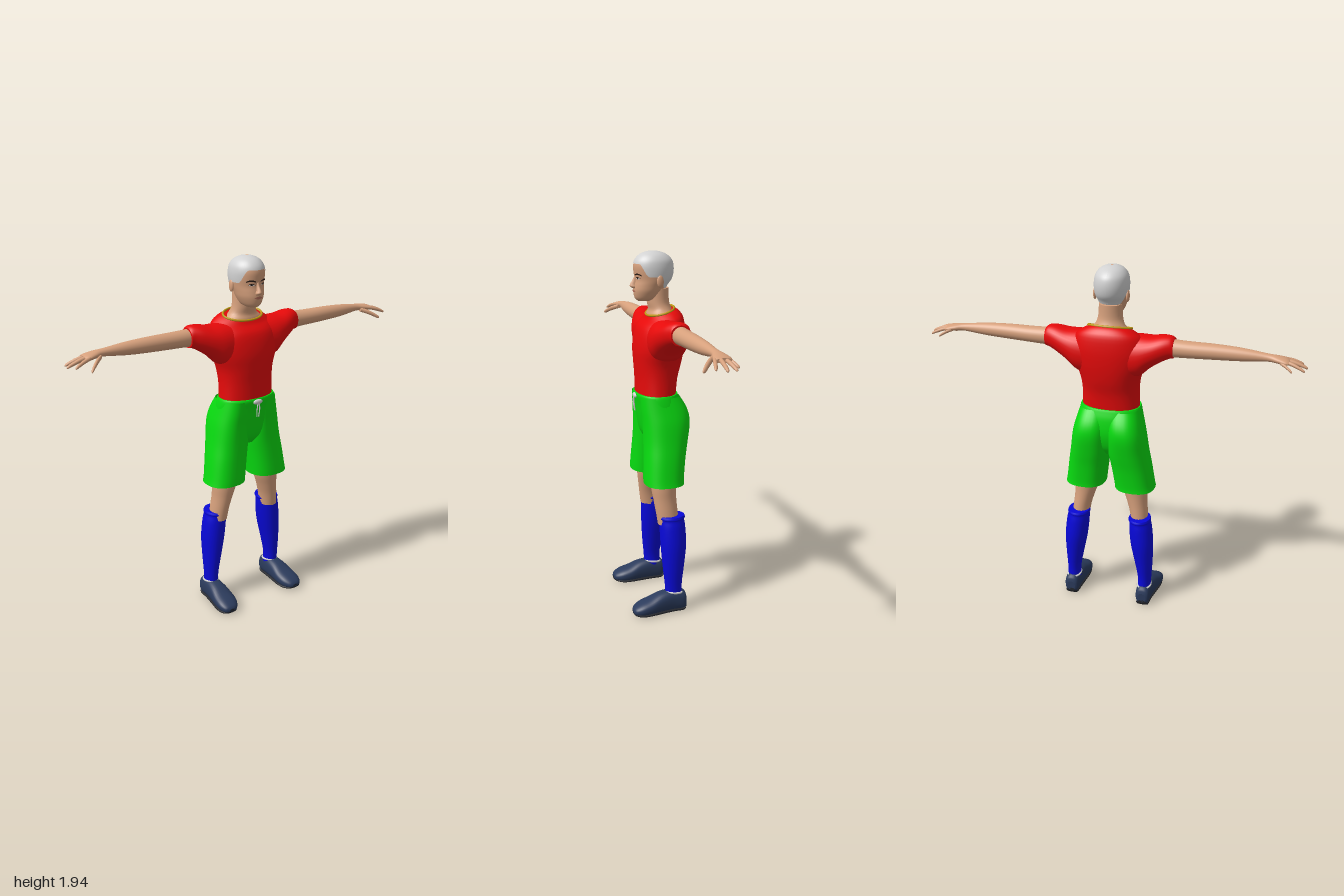
import * as THREE from 'three';

const mat = (name, color, side = THREE.FrontSide) => {
  const m = new THREE.MeshStandardMaterial({ color, side });
  m.name = name;
  return m;
};

// Smooth interpolation through a list of cross-sections, u counted in sections
function sample(sections, u) {
  const last = sections.length - 1;
  const i = Math.min(Math.floor(u), last - 1), f = u - i;
  const at = k => sections[Math.max(0, Math.min(last, k))];
  return sections[0].map((_, k) => {
    const [p0, p1, p2, p3] = [at(i - 1)[k], at(i)[k], at(i + 1)[k], at(i + 2)[k]];
    return p1 + 0.5 * f * (p2 - p0 + f * (2 * p0 - 5 * p1 + 4 * p2 - p3 + f * (3 * (p1 - p2) + p3 - p0)));
  });
}

// Point on a lofted body. A section is [t, a0, a1, b0, b1]: its place on the axis and its bounds across.
// Axis x: a = y, b = z.  Axis y: a = z, b = x.  Axis z: a = x, b = y.
function pointOn(sections, axis, u, angle, power = 2, grow = 0) {
  const [t, a0, a1, b0, b1] = sample(sections, u);
  const curve = v => Math.sign(v) * Math.abs(v) ** (2 / power);
  const a = (a0 + a1) / 2 + ((a1 - a0) / 2 + grow) * curve(Math.cos(angle));
  const b = (b0 + b1) / 2 + ((b1 - b0) / 2 + grow) * curve(Math.sin(angle));
  return axis === 'x' ? [t, a, b] : axis === 'y' ? [b, t, a] : [a, b, t];
}

function loft(sections, axis, { seg = 32, steps = 4, power = 2, caps = true, warp } = {}) {
  const pos = [], idx = [], rows = (sections.length - 1) * steps;
  const ring = r => {
    for (let j = 0; j < seg; j++) {
      const p = pointOn(sections, axis, r / steps, j / seg * Math.PI * 2, power);
      pos.push(...(warp ? warp(p) : p));
    }
  };
  for (let r = 0; r <= rows; r++) ring(r);
  for (let r = 0; r < rows; r++) for (let j = 0; j < seg; j++) {
    const k = (j + 1) % seg, a = r * seg, b = a + seg;
    idx.push(a + j, a + k, b + k, a + j, b + k, b + j);
  }
  if (caps) for (const r of [0, rows]) {
    const start = pos.length / 3;
    ring(r);
    const c = [0, 0, 0];
    for (let j = 0; j < seg; j++) for (let k = 0; k < 3; k++) c[k] += pos[(start + j) * 3 + k] / seg;
    pos.push(...c);
    for (let j = 0; j < seg; j++) {
      const k = start + (j + 1) % seg;
      idx.push(start + seg, ...(r ? [start + j, k] : [k, start + j]));
    }
  }
  return build(pos, idx);
}

function build(pos, idx) {
  const g = new THREE.BufferGeometry();
  g.setAttribute('position', new THREE.Float32BufferAttribute(pos, 3));
  g.setIndex(idx);
  g.computeVertexNormals();
  return g;
}

function mirror(geometry) {
  const g = geometry.clone().scale(-1, 1, 1), i = g.index.array;
  for (let k = 0; k < i.length; k += 3) [i[k], i[k + 1]] = [i[k + 1], i[k]];
  return g;
}

// [y, back z, front z, left and right x]
const HEAD = [
  [1.685, 0.01, 0.08, 0.03], [1.7, -0.04, 0.096, 0.05], [1.735, -0.06, 0.103, 0.068],
  [1.765, -0.075, 0.1, 0.076], [1.795, -0.097, 0.095, 0.083], [1.83, -0.107, 0.1, 0.087],
  [1.865, -0.107, 0.102, 0.086], [1.895, -0.097, 0.092, 0.078], [1.92, -0.07, 0.068, 0.058],
  [1.934, -0.035, 0.035, 0.03], [1.938, -0.005, 0.005, 0.005],
].map(([y, z0, z1, x]) => [y, z0, z1, -x, x]);

// Thin patch lying on the head between two angles and two heights
function headPatch(from, to, low, high, grow, cols, rows) {
  const pos = [], idx = [];
  for (let r = 0; r <= rows; r++) for (let c = 0; c <= cols; c++) {
    const f = c / cols, angle = from + (to - from) * f, lo = low(angle, f), hi = high(angle, f);
    pos.push(...pointOn(HEAD, 'y', lo + (hi - lo) * r / rows, angle, 2, grow));
    if (r < rows && c < cols) {
      const a = r * (cols + 1) + c, b = a + cols + 1;
      idx.push(a, a + 1, b + 1, a, b + 1, b);
    }
  }
  return build(pos, idx);
}

export function createModel() {
  const skin = mat('skin', 0xd6a07c), red = mat('shirt red', 0xe60a0a);
  const green = mat('shorts green', 0x08dc10, THREE.DoubleSide), blue = mat('sock blue', 0x0808d8);
  const navy = mat('shoe navy', 0x2b3b5c), grey = mat('light grey', 0xd2d2d2);
  const gold = mat('collar gold', 0xc09a18), dark = mat('dark brown', 0x2a1c16);
  const lip = mat('lip', 0xb4705c), sole = mat('sole', 0x24262c);

  const model = new THREE.Group();
  model.name = 'footballer';
  const add = (name, geometry, material) => {
    const m = new THREE.Mesh(geometry, material);
    m.name = name;
    model.add(m);
  };
  const pair = (name, geometry, material) => {
    add(name + 'Left', geometry, material);
    add(name + 'Right', mirror(geometry), material);
  };
  const ball = (x, y, z, sx, sy, sz) => new THREE.SphereGeometry(1, 16, 12).scale(sx, sy, sz).translate(x, y, z);
  const tube = (points, radius, closed = false) => new THREE.TubeGeometry(
    new THREE.CatmullRomCurve3(points.map(p => new THREE.Vector3(...p)), closed), 48, radius, 8, closed);

  // Head, neck and close-cropped hair
  add('head', loft(HEAD, 'y', { seg: 48 }), skin);
  add('neck', loft([[1.56, -0.1, 0.03, -0.115, 0.115], [1.61, -0.105, 0.03, -0.112, 0.112],
    [1.64, -0.1, 0.022, -0.08, 0.08], [1.68, -0.086, 0.03, -0.064, 0.064],
    [1.75, -0.085, 0.035, -0.06, 0.06]], 'y'), skin);
  const hairline = angle => {
    const a = Math.abs(angle);
    return 6.35 - 1.9 * THREE.MathUtils.smoothstep(a, 0.6, 1.15) - 1.9 * THREE.MathUtils.smoothstep(a, 1.7, 2.4);
  };
  add('hair', headPatch(-Math.PI, Math.PI, hairline, () => 10, 0.0025, 64, 28), grey);

  // Face
  add('nose', loft([[1.75, 0.085, 0.105, -0.015, 0.015], [1.76, 0.075, 0.122, -0.017, 0.017],
    [1.772, 0.075, 0.121, -0.012, 0.012], [1.795, 0.075, 0.107, -0.008, 0.008],
    [1.815, 0.075, 0.098, -0.009, 0.009]], 'y', { seg: 16 }), skin);
  const arch = f => Math.sin(f * Math.PI);
  pair('eyebrow', headPatch(0.16, 0.72, (a, f) => 4.58 + 0.14 * arch(f), (a, f) => 4.72 + 0.22 * arch(f), 0.003, 10, 2), dark);
  pair('eye', headPatch(0.22, 0.6, (a, f) => 4.2 - 0.13 * arch(f), (a, f) => 4.2 + 0.13 * arch(f), 0.002, 10, 2), grey);
  pair('iris', headPatch(0.33, 0.49, (a, f) => 4.2 - 0.12 * arch(f), (a, f) => 4.2 + 0.14 * arch(f), 0.003, 8, 2), dark);
  pair('eyelid', headPatch(0.2, 0.62, (a, f) => 4.2 + 0.12 * arch(f), (a, f) => 4.22 + 0.2 * arch(f), 0.0035, 10, 1), dark);
  add('mouth', headPatch(-0.38, 0.38, (a, f) => 2.05 - 0.22 * arch(f), (a, f) => 2.05 + 0.2 * arch(f), 0.002, 12, 2), lip);
  pair('ear', ball(0.086, 1.79, -0.015, 0.009, 0.031, 0.018), skin);

  // Shirt: torso with a neckline rising to the back, and short sleeves
  const neckRise = ([x, y, z]) => [x, y - (z + 0.035) * 0.32 * THREE.MathUtils.smoothstep(y, 1.54, 1.63), z];
  add('shirtBody', loft([[1.185, -0.115, 0.09, 0.155], [1.28, -0.125, 0.092, 0.152], [1.36, -0.145, 0.098, 0.16],
    [1.44, -0.157, 0.1, 0.187], [1.52, -0.16, 0.086, 0.2], [1.58, -0.153, 0.06, 0.18],
    [1.608, -0.132, 0.04, 0.145], [1.625, -0.11, 0.03, 0.115]].map(([y, z0, z1, x]) => [y, z0, z1, -x, x]),
  'y', { seg: 48, power: 2.2, warp: neckRise }), red);
  pair('sleeve', loft([[0.08, 1.37, 1.6, -0.135, 0.065], [0.16, 1.385, 1.602, -0.138, 0.068],
    [0.22, 1.437, 1.602, -0.13, 0.055], [0.28, 1.477, 1.612, -0.115, 0.033],
    [0.32, 1.497, 1.612, -0.101, 0.014], [0.338, 1.5, 1.602, -0.094, 0.008]], 'x', { power: 2.2 }), red);
  const neckline = Array.from({ length: 16 }, (_, i) => {
    const a = i / 8 * Math.PI;
    return [0.114 * Math.sin(a), 1.63 - 0.021 * Math.cos(a), -0.039 + 0.07 * Math.cos(a)];
  });
  add('collar', tube(neckline, 0.006, true), gold);

  // Arms, palms and fingers
  pair('arm', loft([[0.3, 1.503, 1.597, -0.09, 0], [0.42, 1.508, 1.593, -0.089, -0.001],
    [0.55, 1.513, 1.592, -0.083, -0.003], [0.68, 1.52, 1.586, -0.077, -0.012],
    [0.8, 1.533, 1.573, -0.071, -0.026], [0.85, 1.531, 1.568, -0.083, -0.016],
    [0.89, 1.528, 1.56, -0.092, -0.006], [0.908, 1.53, 1.552, -0.088, -0.012]], 'x'), skin);
  // [start x, y, z, tip x, y, z, radius]
  const digits = {
    thumb: [0.825, 1.54, -0.03, 0.91, 1.495, 0.042, 0.012], index: [0.885, 1.545, -0.016, 0.975, 1.515, 0.01, 0.0095],
    middle: [0.885, 1.546, -0.038, 0.998, 1.512, -0.036, 0.01], ring: [0.885, 1.545, -0.06, 0.988, 1.51, -0.082, 0.0095],
    little: [0.865, 1.542, -0.076, 0.93, 1.51, -0.113, 0.0085],
  };
  for (const [name, [x0, y0, z0, x1, y1, z1, radius]] of Object.entries(digits)) {
    const rings = [[0, 1], [0.4, 1.05], [0.75, 0.9], [0.94, 0.7], [1, 0.15]].map(([f, s]) => {
      const y = y0 + (y1 - y0) * f * (0.5 + 0.5 * f), z = z0 + (z1 - z0) * f, w = radius * s;
      return [x0 + (x1 - x0) * f, y - w, y + w, z - w, z + w];
    });
    pair(name + 'Finger', loft(rings, 'x', { seg: 12, steps: 3 }), skin);
  }

  // Shorts: a hip piece and two wide legs that also shape the seat
  add('shortsHips', loft([[0.93, -0.09, 0.03, -0.08, 0.08], [0.98, -0.125, 0.064, -0.16, 0.16],
    [1.06, -0.145, 0.08, -0.18, 0.18], [1.14, -0.14, 0.091, -0.173, 0.173],
    [1.185, -0.128, 0.099, -0.165, 0.165], [1.2, -0.122, 0.096, -0.16, 0.16]], 'y', { seg: 48, power: 2.3 }), green);
  pair('shortsLeg', loft([[0.725, -0.127, 0.086, 0.03, 0.25], [0.76, -0.128, 0.085, 0.026, 0.243],
    [0.86, -0.14, 0.08, 0.012, 0.228], [0.95, -0.157, 0.077, -0.002, 0.212],
    [1.05, -0.172, 0.08, -0.006, 0.196], [1.12, -0.16, 0.086, -0.006, 0.179],
    [1.19, -0.12, 0.09, 0, 0.16]], 'y', { seg: 40, power: 2.4, caps: false }), green);
  add('waistKnot', ball(0, 1.183, 0.1, 0.03, 0.014, 0.01), grey);
  pair('drawstring', tube([[0.002, 1.18, 0.106], [0.008, 1.15, 0.106], [0.006, 1.1, 0.1]], 0.003), grey);

  // Legs, socks and shoes
  pair('leg', loft([[0.5, -0.095, 0.02, 0.125, 0.22], [0.57, -0.09, 0.03, 0.115, 0.214],
    [0.64, -0.086, 0.04, 0.095, 0.207], [0.72, -0.087, 0.05, 0.07, 0.205],
    [0.9, -0.1, 0.06, 0.04, 0.19]], 'y'), skin);
  pair('sock', loft([[0.09, -0.105, -0.012, 0.172, 0.248], [0.16, -0.104, -0.008, 0.173, 0.249],
    [0.26, -0.117, 0.002, 0.155, 0.254], [0.38, -0.131, 0.01, 0.131, 0.256],
    [0.48, -0.128, 0.013, 0.12, 0.247], [0.525, -0.122, 0.012, 0.12, 0.238],
    [0.535, -0.128, 0.017, 0.114, 0.24], [0.548, -0.124, 0.014, 0.118, 0.236]], 'y'), blue);
  const shoe = [[-0.127, 0.19, 0.236, 0.022, 0.08], [-0.112, 0.174, 0.252, 0.004, 0.112],
    [-0.05, 0.168, 0.257, 0.004, 0.122], [0.02, 0.162, 0.268, 0.004, 0.112], [0.08, 0.157, 0.278, 0.004, 0.086],
    [0.13, 0.164, 0.278, 0.004, 0.069], [0.165, 0.185, 0.264, 0.01, 0.05], [0.176, 0.206, 0.243, 0.018, 0.036]];
  pair('shoe', loft(shoe, 'z', { power: 2.5 }), navy);
  pair('shoeSole', loft(shoe.map(([z, x0, x1, y0]) => [z, x0 + 0.004, x1 - 0.004, y0 - 0.004, y0 + 0.014]), 'z', { power: 3 }), sole);
  const ankle = Array.from({ length: 12 }, (_, i) => {
    const a = i / 6 * Math.PI;
    return [0.211 + 0.037 * Math.sin(a), 0.111 + 0.006 * Math.cos(a), -0.062 + 0.046 * Math.cos(a)];
  });
  pair('shoeLining', tube(ankle, 0.006, true), grey);
  return model;
}
